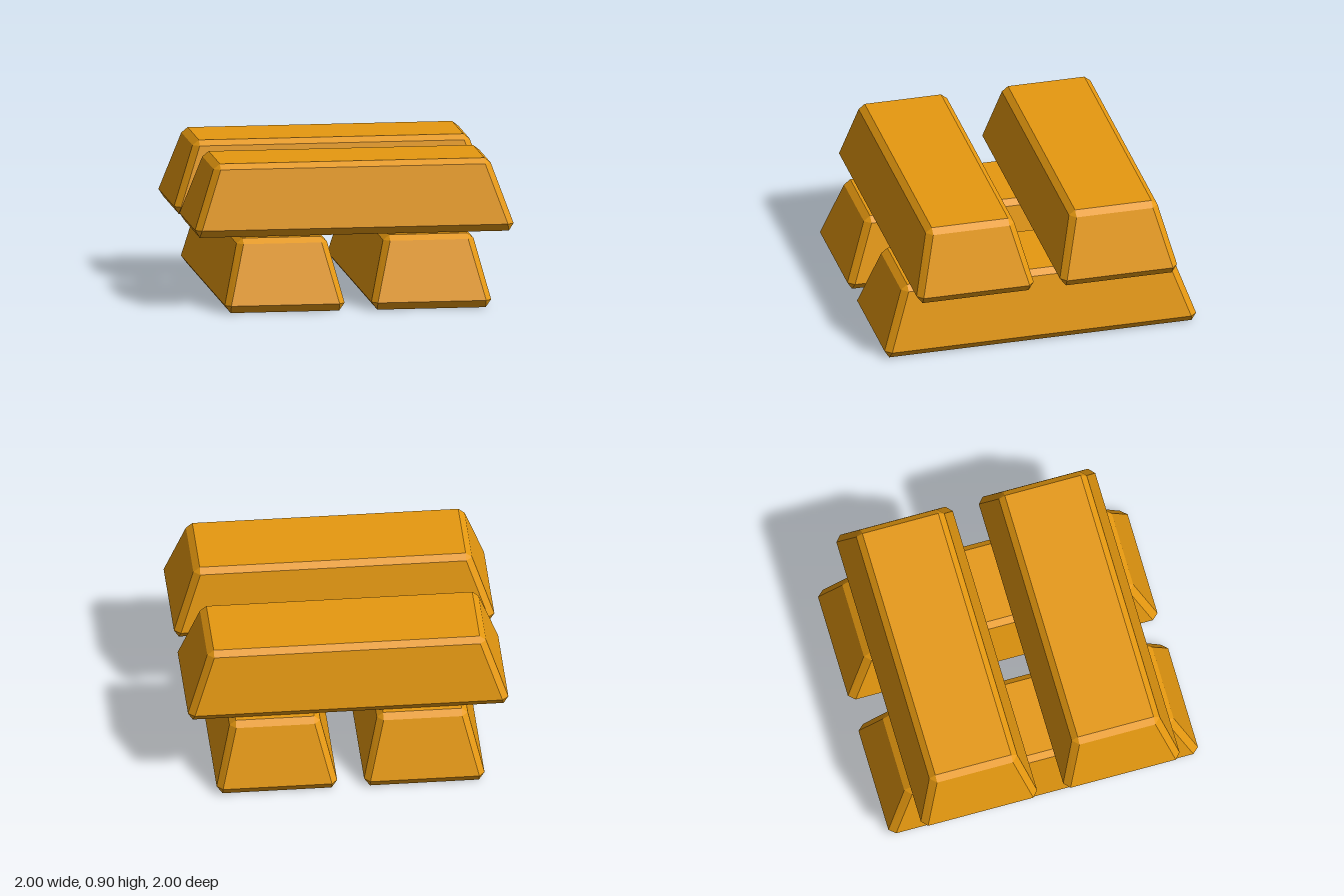
import * as THREE from 'three';
import { ConvexGeometry } from 'three/addons/geometries/ConvexGeometry.js';

// Bevelled, tapered ingot: long axis along x, standing on y = 0
function ingotGeometry() {
  const points = [];
  const mirrored = (x, y, z) => {
    for (const sx of [-1, 1]) for (const sz of [-1, 1]) points.push(new THREE.Vector3(sx * x, y, sz * z));
  };
  // bottom face
  mirrored(0.97, 0, 0.34);
  // widest ring, corners cut
  mirrored(1.0, 0.047, 0.34);
  mirrored(0.96, 0.047, 0.376);
  // shoulder ring, corners cut
  mirrored(0.87, 0.415, 0.245);
  mirrored(0.83, 0.415, 0.284);
  // top face
  mirrored(0.83, 0.447, 0.245);
  return new ConvexGeometry(points);
}

export function createModel() {
  const group = new THREE.Group();
  group.name = 'ingotStack';
  const gold = new THREE.MeshStandardMaterial({ color: 0xe89a10 });
  gold.name = 'gold';
  const geometry = ingotGeometry();

  // lower pair runs front to back, upper pair runs left to right
  for (const side of [-1, 1]) {
    const lower = new THREE.Mesh(geometry, gold);
    lower.name = side > 0 ? 'lowerLeftIngot' : 'lowerRightIngot';
    lower.rotation.y = Math.PI / 2;
    lower.position.x = side * 0.46;

    const upper = new THREE.Mesh(geometry, gold);
    upper.name = side > 0 ? 'upperFrontIngot' : 'upperBackIngot';
    upper.position.set(0, 0.45, side * 0.46);
    group.add(lower, upper);
  }
  return group;
}
